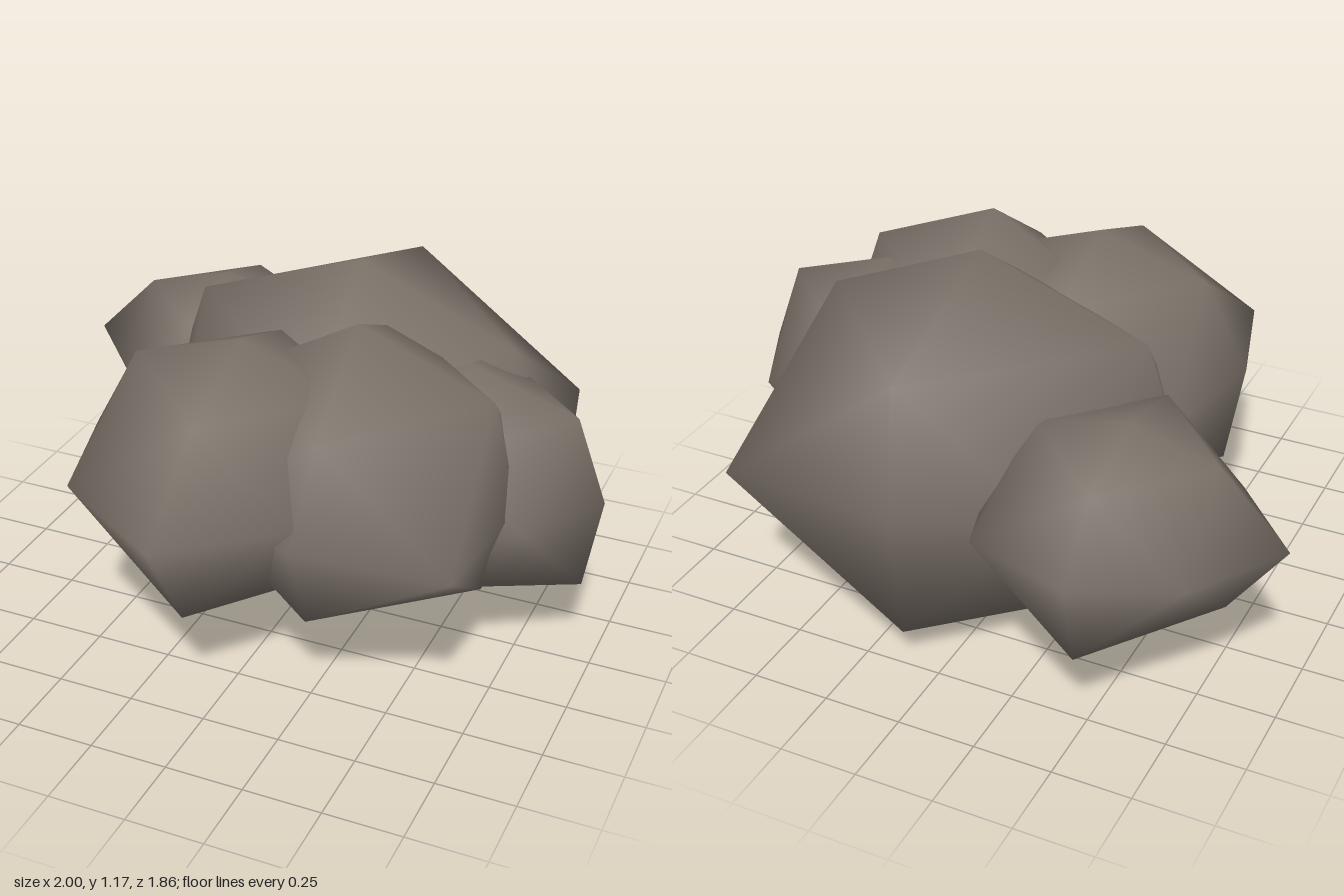
import * as THREE from 'three';
import { mergeVertices } from 'three/addons/utils/BufferGeometryUtils.js';

const SQUASH = 0.77; // boulders are flattened in y

// poles: reach along [+x, -x, +y, -y, +z, -z]
// xy, yz, xz: diagonal offsets in the order [++, -+, +-, --] of the two axes
const boulders = [
  { name: 'mainBoulder', centre: [0.12, 0.56, -0.19],
    poles: [0.71, 0.69, 0.62, 0.55, 0.6, 0.61],
    xy: [0.52, 0.55, 0.57, 0.58], yz: [0.42, 0.47, 0.57, 0.56], xz: [0.45, 0.45, 0.585, 0.42] },
  { name: 'backRightBoulder', centre: [-0.5, 0.6, -0.49],
    poles: [0.44, 0.5, 0.3, 0.3, 0.49, 0.44],
    xy: [0.3, 0.285, 0.31, 0.32], yz: [0.3, 0.31, 0.28, 0.37], xz: [0.31, 0.265, 0.34, 0.305] },
  { name: 'frontRightBoulder', centre: [-0.07, 0.69, 0.29],
    poles: [0.44, 0.51, 0.39, 0.41, 0.64, 0.42],
    xy: [0.35, 0.36, 0.4, 0.45], yz: [0.34, 0.44, 0.35, 0.4], xz: [0.35, 0.395, 0.38, 0.43] },
  { name: 'frontLeftBoulder', centre: [0.26, 0.635, 0.17],
    poles: [0.52, 0.45, 0.505, 0.475, 0.52, 0.45],
    xy: [0.43, 0.38, 0.42, 0.38], yz: [0.35, 0.4, 0.41, 0.38], xz: [0.48, 0.37, 0.39, 0.38] },
  { name: 'leftBoulder', centre: [0.55, 0.6, -0.01],
    poles: [0.45, 0.35, 0.385, 0.4, 0.3, 0.35],
    xy: [0.35, 0.3, 0.4, 0.3], yz: [0.26, 0.31, 0.34, 0.33], xz: [0.28, 0.28, 0.3, 0.3] },
];

// Subdivided octahedron whose poles and edge points are pushed to the given reach
function boulderGeometry({ centre, poles, xy, yz, xz }) {
  let geo = new THREE.OctahedronGeometry(1, 1);
  geo.deleteAttribute('uv');
  geo.deleteAttribute('normal');
  geo = mergeVertices(geo, 1e-3);
  const pos = geo.attributes.position;
  const pick = (list, a, b) => list[(a < 0 ? 1 : 0) + (b < 0 ? 2 : 0)];
  for (let i = 0; i < pos.count; i++) {
    const s = [pos.getX(i), pos.getY(i), pos.getZ(i)]
      .map((v) => (Math.abs(v) < 0.1 ? 0 : Math.sign(v)));
    const used = [0, 1, 2].filter((k) => s[k] !== 0);
    let p;
    if (used.length === 1) {
      const k = used[0];
      const reach = poles[2 * k + (s[k] < 0 ? 1 : 0)];
      p = s.map((v) => v * reach);
    } else {
      const r = s[2] === 0 ? pick(xy, s[0], s[1])
        : s[0] === 0 ? pick(yz, s[1], s[2])
        : pick(xz, s[0], s[2]);
      p = [s[0] * r, s[1] * r * SQUASH, s[2] * r];
    }
    pos.setXYZ(i, p[0] + centre[0], p[1] + centre[1], p[2] + centre[2]);
  }
  geo.computeVertexNormals();
  return geo;
}

export function createModel() {
  const stone = new THREE.MeshStandardMaterial({ color: 0x7a7168 });
  stone.name = 'stone';
  const group = new THREE.Group();
  group.name = 'rockCluster';
  for (const spec of boulders) {
    const mesh = new THREE.Mesh(boulderGeometry(spec), stone);
    mesh.name = spec.name;
    group.add(mesh);
  }
  return group;
}
